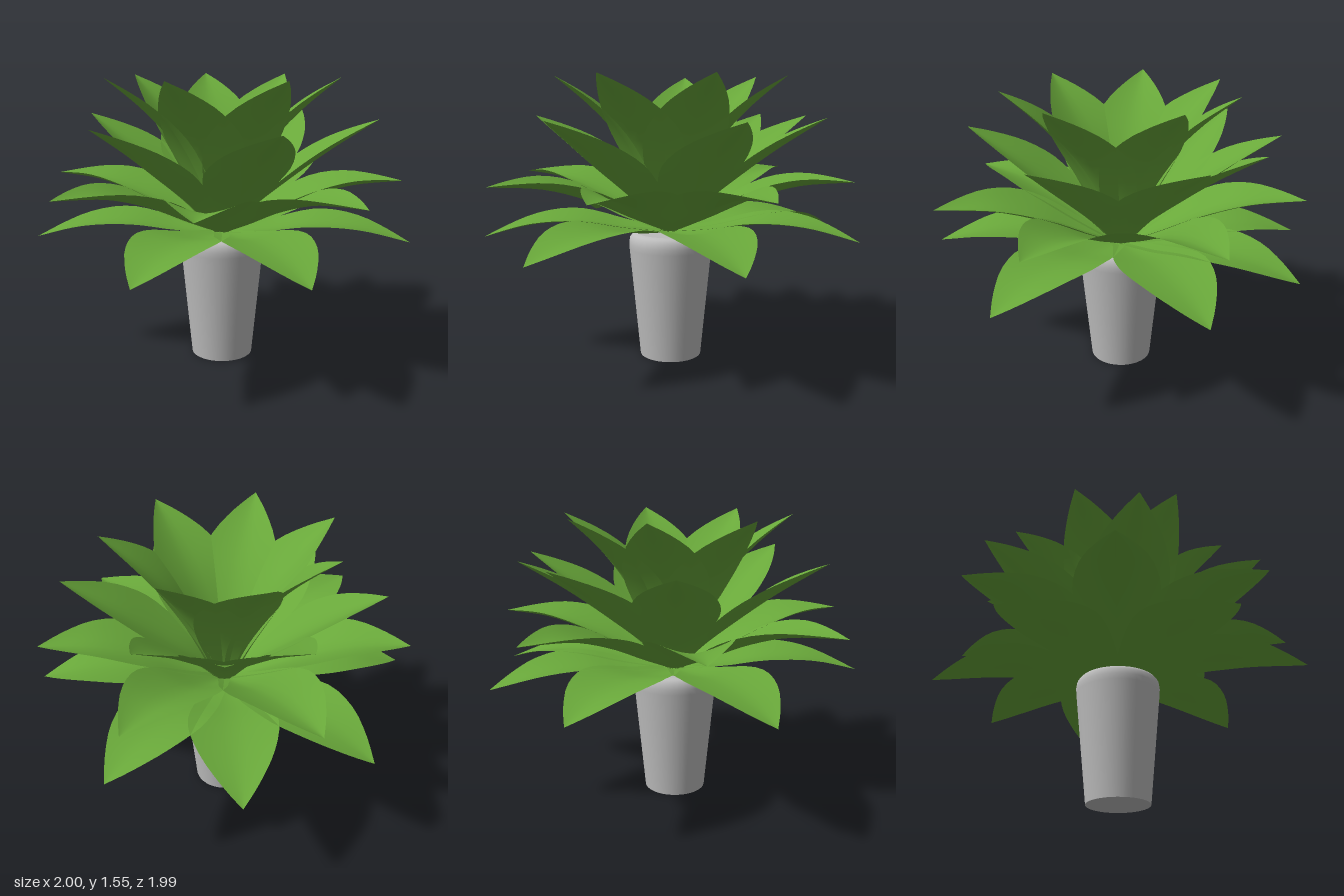
import * as THREE from 'three';

const green = new THREE.MeshStandardMaterial({ color: 0x69a83a, side: THREE.DoubleSide });
green.name = 'leafGreen';
const grey = new THREE.MeshStandardMaterial({ color: 0xbcbcbc });
grey.name = 'potGrey';

// Half width of a leaf along its length
const widthCurve = new THREE.SplineCurve([
  [0, 0.05], [0.18, 0.12], [0.36, 0.19], [0.54, 0.225], [0.72, 0.18], [0.88, 0.09], [1, 0],
].map(([t, w]) => new THREE.Vector2(t, w)));

// Leaf growing along +x: a cupped sheet swept along a midrib of [radius, height] points
function leafGeometry(midrib, cup) {
  const curve = new THREE.SplineCurve(midrib.map(([r, y]) => new THREE.Vector2(r, y)));
  const rows = 18, cols = 8;
  const geo = new THREE.PlaneGeometry(1, 1, cols, rows);
  const pos = geo.attributes.position;
  for (let i = 0; i <= rows; i++) {
    const profile = widthCurve.getPoint(i / rows);
    const t = Math.min(1, Math.max(0, profile.x));
    const p = curve.getPointAt(t);
    const d = curve.getTangentAt(t);
    for (let j = 0; j <= cols; j++) {
      const s = (j / cols) * 2 - 1;
      const lift = cup * profile.y * Math.pow(Math.abs(s), 1.5);
      pos.setXYZ(i * (cols + 1) + j, p.x - d.y * lift, p.y + d.x * lift, s * profile.y);
    }
  }
  geo.computeVertexNormals();
  return geo;
}

// Leaf tiers from the upright heart to the drooping skirt, with each leaf's heading in degrees
const tiers = [
  { name: 'innerLeaf', cup: 0.23, midrib: [[0.03, 0.7], [0.125, 0.96], [0.26, 1.195], [0.43, 1.385], [0.625, 1.55]],
    angles: [267, 313, 14, 67, 121, 172.5, 222] },
  { name: 'upperLeaf', cup: 0.25, midrib: [[0.03, 0.7], [0.17, 0.845], [0.36, 1.0], [0.58, 1.165], [0.835, 1.33]],
    angles: [256, 284, 313, 10, 78, 144, 210] },
  { name: 'middleLeaf', cup: 0.3, midrib: [[0.02, 0.7], [0.22, 0.785], [0.45, 0.89], [0.7, 0.965], [0.99, 0.99]],
    angles: [6, 54.5, 103, 152, 202.5, 258, 312] },
  { name: 'lowerLeaf', cup: 0.16, midrib: [[0.0, 0.7], [0.25, 0.727], [0.5, 0.767], [0.75, 0.755], [1.02, 0.685]],
    angles: [184, 239, 279.5, 317.5, 15.5, 74, 119] },
];

export function createModel() {
  const model = new THREE.Group();
  model.name = 'pottedPlant';
  model.position.set(0.01, 0, 0.02);

  // Tapered pot with a rounded shoulder; base and lid are separate discs for crisp rims
  const wall = [[0.17, 0], [0.228, 0.61], [0.23, 0.64], [0.225, 0.67], [0.21, 0.689], [0.185, 0.697]];
  const pot = new THREE.Mesh(
    new THREE.LatheGeometry(wall.map(([r, y]) => new THREE.Vector2(r, y)), 40), grey);
  pot.name = 'pot';
  const base = new THREE.Mesh(new THREE.CircleGeometry(0.17, 40).rotateX(Math.PI / 2), grey);
  base.name = 'potBase';
  const lid = new THREE.Mesh(new THREE.CircleGeometry(0.185, 40).rotateX(-Math.PI / 2), grey);
  lid.name = 'potTop';
  lid.position.y = 0.697;
  model.add(pot, base, lid);

  // Small green crown closing the heart where the leaves meet
  const crown = new THREE.Mesh(new THREE.CircleGeometry(0.07, 16).rotateX(-Math.PI / 2), green);
  crown.name = 'crown';
  crown.position.y = 0.71;
  model.add(crown);

  // Leaves
  for (const { name, cup, midrib, angles } of tiers) {
    const geo = leafGeometry(midrib, cup);
    for (const angle of angles) {
      const leaf = new THREE.Mesh(geo, green);
      leaf.name = name;
      leaf.rotation.y = -THREE.MathUtils.degToRad(angle);
      model.add(leaf);
    }
  }

  const root = new THREE.Group();
  root.add(model);
  return root;
}
